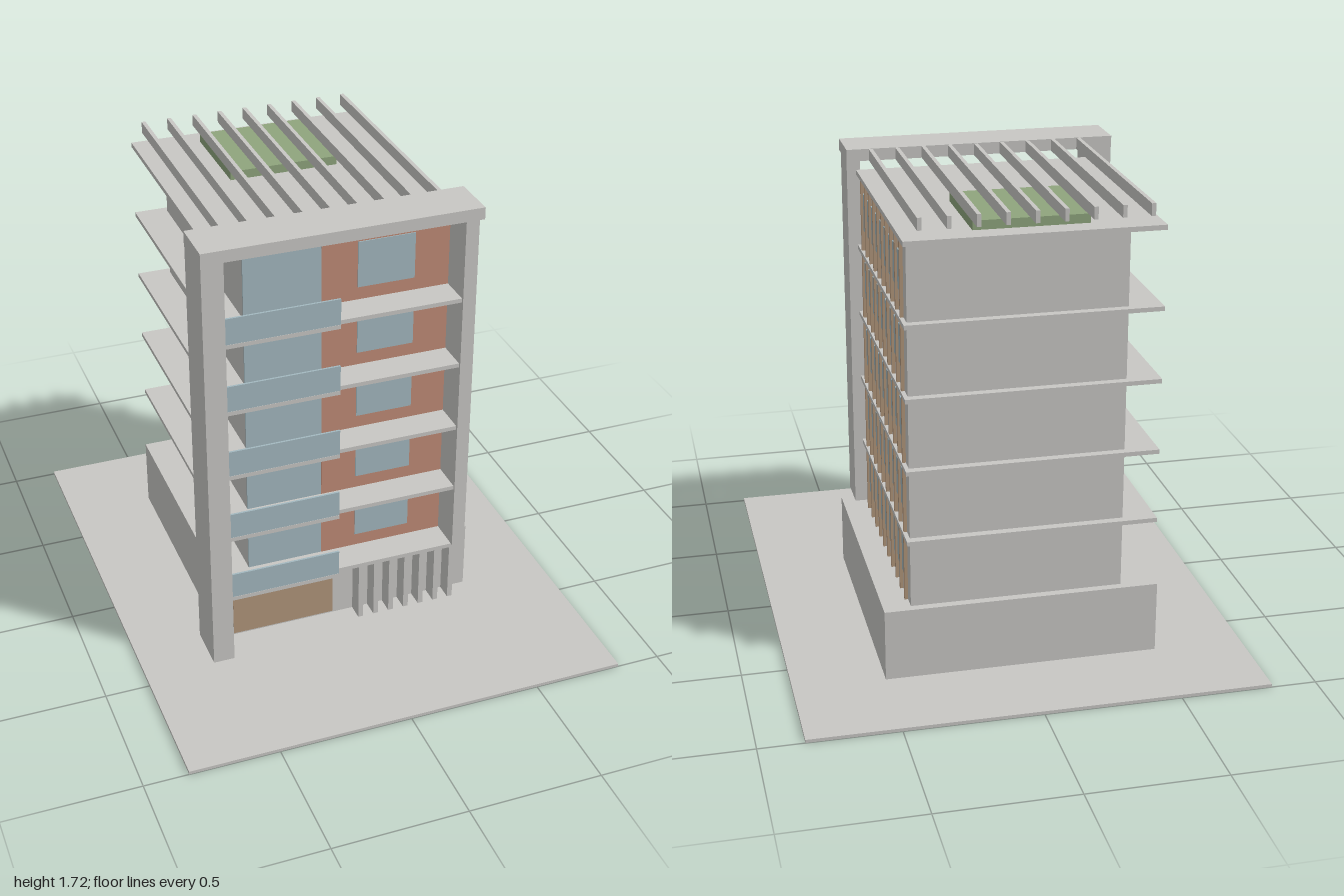
import * as THREE from 'three';

const material = (name, color) => {
  const m = new THREE.MeshStandardMaterial({ color });
  m.name = name;
  return m;
};

export function createModel() {
  const concrete = material('concrete grey', 0xc8c7c4);
  const glass = material('glass blue', 0xa3b8bf);
  const brick = material('brick red', 0xc08b77);
  const wood = material('wood brown', 0xb0957a);
  const green = material('planting green', 0x8fa57d);

  const model = new THREE.Group();
  model.name = 'apartmentBuilding';

  // Box given by its limits on each axis
  const box = (name, mat, [x0, x1], [y0, y1], [z0, z1], parent = model) => {
    const mesh = new THREE.Mesh(new THREE.BoxGeometry(x1 - x0, y1 - y0, z1 - z0), mat);
    mesh.position.set((x0 + x1) / 2, (y0 + y1) / 2, (z0 + z1) / 2);
    mesh.name = name;
    parent.add(mesh);
    return mesh;
  };

  // Ground plate, podium and tower
  box('groundPlate', concrete, [-0.835, 0.835], [0, 0.012], [-1, 1]);
  box('podium', concrete, [-0.505, 0.5], [0.012, 0.28], [-0.665, 0.335]);
  box('tower', concrete, [-0.375, 0.4], [0.28, 1.618], [-0.635, 0.29]);

  // Entrance door and screen of upright slats
  box('garageDoor', wood, [-0.455, -0.055], [0.022, 0.25], [0.335, 0.342]);
  for (let i = 0; i < 7; i++) {
    const x = 0.03 + i * 0.0622;
    box('entranceSlat', concrete, [x, x + 0.02], [0.012, 0.265], [0.335, 0.4]);
  }

  // Portal frame around the front
  const portal = new THREE.Group();
  portal.name = 'portalFrame';
  model.add(portal);
  box('tallPier', concrete, [-0.575, -0.495], [0.012, 1.67], [0.29, 0.47], portal);
  box('shortPier', concrete, [0.4, 0.45], [0.28, 1.67], [0.29, 0.43], portal);
  box('topBeam', concrete, [-0.575, 0.45], [1.67, 1.715], [0.285, 0.47], portal);

  // Storeys: slab, balcony, front wall and windows
  const floors = [0.28, 0.546, 0.812, 1.079, 1.345];
  floors.forEach((y, i) => {
    const storey = new THREE.Group();
    storey.name = 'storey' + (i + 1);
    model.add(storey);
    const top = i < 4 ? floors[i + 1] - 0.016 : 1.618;
    const slab = [y - 0.016, y];
    if (i > 0) box('floorSlab', concrete, [-0.495, 0.415], slab, [-0.665, 0.29], storey);
    box('frontLedge', concrete, [-0.07, 0.405], slab, [0.29, 0.42], storey);
    box('balconyFloor', concrete, [-0.495, -0.07], slab, [0.29, 0.45], storey);
    box('balconyPanel', glass, [-0.495, -0.07], [y, y + 0.1], [0.441, 0.449], storey);

    box('brickPanel', brick, [-0.085, 0.4], [y, top], [0.29, 0.297], storey);
    box('frontWindow', glass, [0.05, 0.267], [y + 0.05, y + 0.228], [0.297, 0.301], storey);
    box('balconyGlazing', glass, [-0.375, -0.085], [y, Math.min(top, y + 0.24)], [0.29, 0.296], storey);

    for (const z of [0.255, -0.035, -0.325]) {
      box('sideWindow', glass, [0.4, 0.404], [y + 0.078, y + 0.22], [z - 0.256, z], storey);
    }
    // Wooden fins on the side wall
    for (let f = 0; f < 10; f++) {
      const z = 0.215 - f * 0.0878;
      box('sideFin', wood, [0.4, 0.412], [y, top], [z - 0.006, z + 0.006], storey);
    }
  });

  // Roof slab, planted bed and pergola beams
  box('roofSlab', concrete, [-0.495, 0.415], [1.618, 1.636], [-0.665, 0.29]);
  box('roofGarden', green, [-0.248, 0.163], [1.636, 1.669], [-0.585, -0.21]);
  for (let i = 0; i < 9; i++) {
    const x = -0.444 + i * 0.1003;
    box('pergolaBeam', concrete, [x - 0.0075, x + 0.0075], [1.67, 1.714], [-0.665, 0.285]);
  }

  return model;
}
